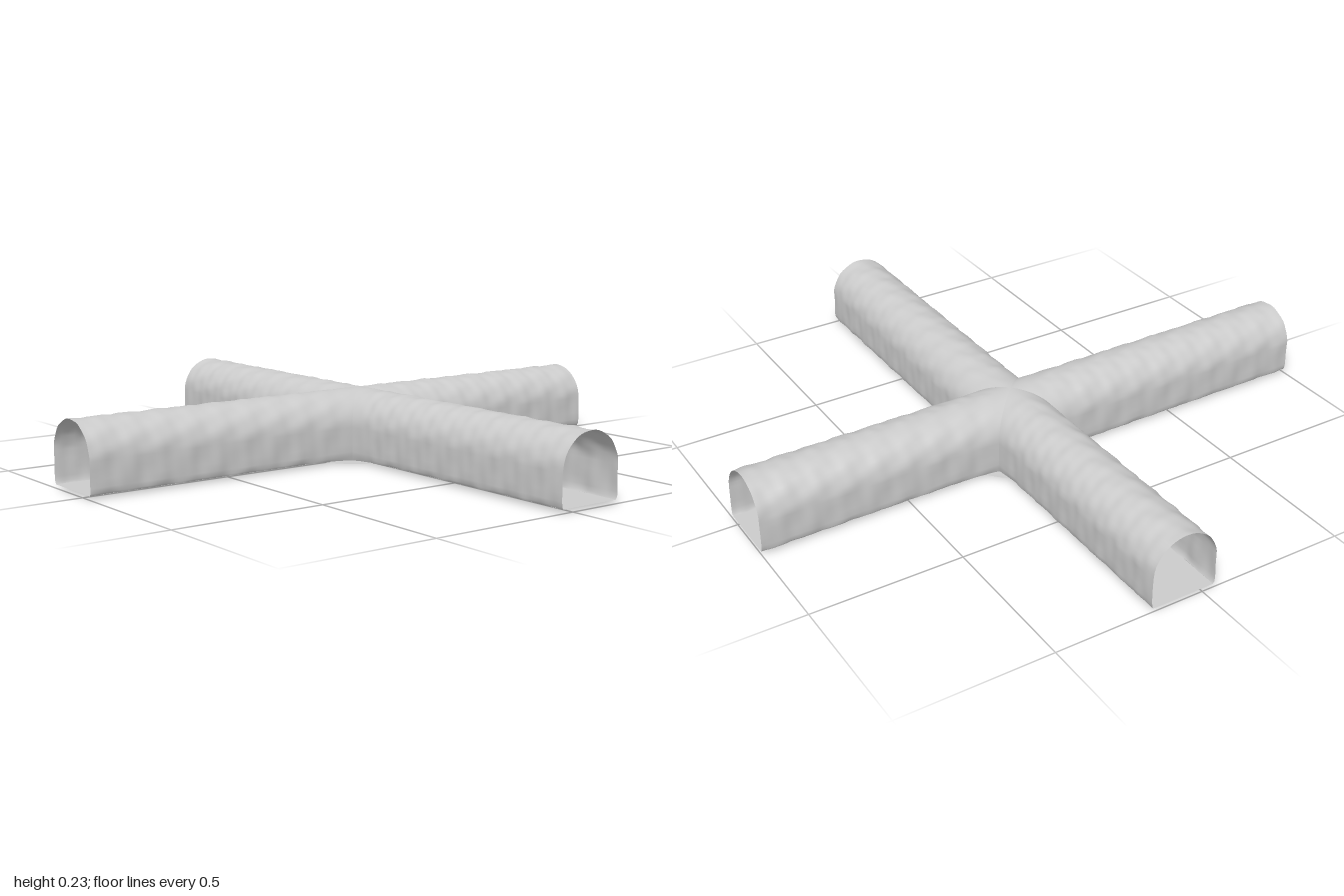
import * as THREE from 'three';

const CX = 0.068, CZ = -0.068;          // centre of the crossing
const HALF = 0.112, SPRING = 0.115, TOP = 0.225, FLOOR = 0.013;
const STEPS = 90;

// Cross-section of the walls and vault, from one foot over the top to the other
function vaultProfile() {
  const half = [[0.106, FLOOR], [0.11, 0.02], [HALF, 0.035], [HALF, 0.06], [HALF, 0.088]];
  const pts = half.slice();
  for (let i = 0; i <= 24; i++) {
    const t = (i / 24) * Math.PI;
    pts.push([HALF * Math.cos(t), SPRING + (TOP - SPRING) * Math.sin(t)]);
  }
  return pts.concat(half.slice().reverse().map(([u, y]) => [-u, y]));
}

function floorProfile() {
  const pts = [];
  for (let i = 0; i <= 12; i++) pts.push([-0.106 + (0.212 * i) / 12, FLOOR]);
  return pts;
}

// Gentle uneven plaster-like relief
function relief(s, a, seed) {
  return 0.0011 * (Math.sin(61 * a + 23 * s + seed) + Math.sin(97 * a - 71 * s + 2 * seed)
    * Math.sin(49 * s + 31 * a + seed) + 0.7 * Math.sin(37 * a + 113 * s + 3 * seed));
}

// Sweep a section along one arm; the inner end is mitred on the diagonals
// so that four arms meet as an open groin vault
function sweepArm(profile, dx, dz, length, seed, rough) {
  const n = profile.length, pos = [], index = [];
  for (let j = 0; j <= STEPS; j++) {
    const t = j / STEPS;
    const fade = Math.min(1, t * 10) * rough;
    const near = Math.exp(-t * 14);
    profile.forEach(([u0, y0], i) => {
      const start = Math.abs(u0) * 1.03;
      const a = start + (length - start) * t;
      const bump = fade * relief(i * 0.012, a, seed);
      const u = u0 * (1 + 0.03 * near) + (bump * u0) / HALF;
      // the floor sinks slightly towards the crossing
      const y = y0 + (y0 > SPRING ? (bump * (y0 - SPRING)) / (TOP - SPRING) : 0)
        - (y0 <= FLOOR ? 0.009 * near : 0);
      const x = CX + dx * a + dz * u;
      const skew = dx * a * 0.005;      // the side arms run slightly askew
      pos.push(x, y, CZ + dz * a - dx * u - skew);
      if (j < STEPS && i < n - 1) {
        const p = j * n + i;
        index.push(p, p + 1, p + n, p + 1, p + n + 1, p + n);
      }
    });
  }
  const geo = new THREE.BufferGeometry();
  geo.setAttribute('position', new THREE.Float32BufferAttribute(pos, 3));
  geo.setIndex(index);
  geo.computeVertexNormals();
  return geo;
}

export function createModel() {
  const model = new THREE.Group();
  model.name = 'tunnelCrossing';
  const mat = new THREE.MeshStandardMaterial({ color: 0xcccccc, side: THREE.DoubleSide });
  const add = (parent, geo, name) => {
    const mesh = new THREE.Mesh(geo, mat);
    mesh.name = name;
    parent.add(mesh);
    return mesh;
  };

  // Four open-ended tunnel arms
  const arms = [
    ['frontTunnel', 0, 1, 1 - CZ],
    ['backTunnel', 0, -1, 1 + CZ],
    ['leftTunnel', 1, 0, 1 - CX],
    ['rightTunnel', -1, 0, 1 + CX],
  ];
  arms.forEach(([name, dx, dz, length], k) => {
    const arm = new THREE.Group();
    arm.name = name;
    add(arm, sweepArm(vaultProfile(), dx, dz, length, 1.7 * k + 1, 1), 'vault');
    add(arm, sweepArm(floorProfile(), dx, dz, length, 0, 0), 'floor');
    model.add(arm);
  });

  // Round plate under the crossing
  const plate = add(model, new THREE.CircleGeometry(0.19, 64), 'crossingPlate');
  plate.rotation.x = Math.PI / 2;
  plate.position.set(0.06, 0.001, -0.066);
  return model;
}
